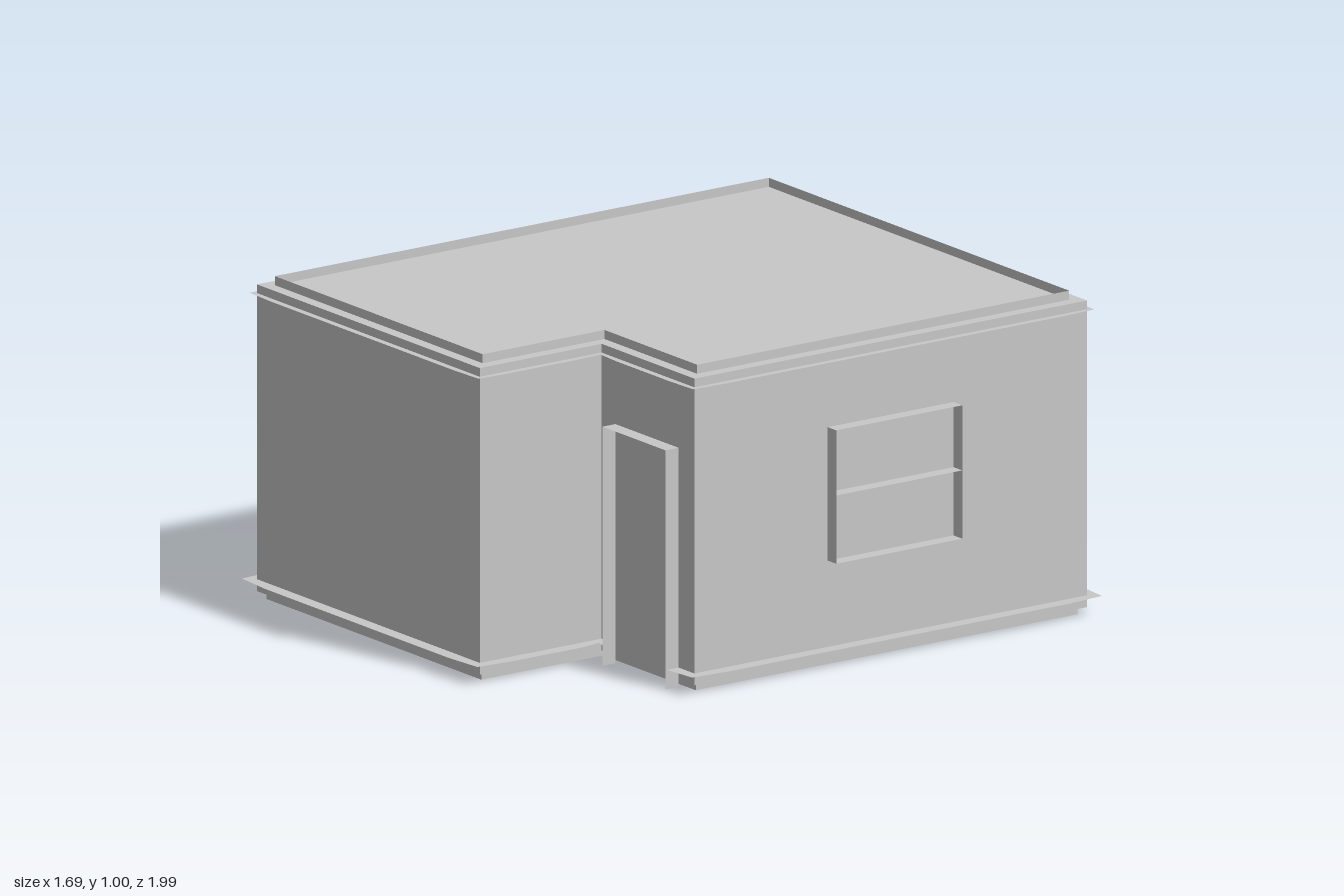
import * as THREE from 'three';

const plaster = new THREE.MeshStandardMaterial({ color: 0xc8c8c8, side: THREE.DoubleSide });
plaster.name = 'plaster grey';
const brown = new THREE.MeshStandardMaterial({ color: 0x94794c, side: THREE.DoubleSide });
brown.name = 'mat brown';

// L-shaped footprint as [x, z], counter-clockwise from above, starting at the door wall's outer corner
const FOOT = [[0.8, 0.5], [0.8, -0.95], [-0.8, -0.95], [-0.8, 0.95], [0.33, 0.95], [0.33, 0.5]];

// Outward normal of the edge a -> b
function normal(a, b) {
  const dx = b[0] - a[0], dz = b[1] - a[1], l = Math.hypot(dx, dz);
  return [-dz / l, dx / l];
}

// Footprint grown outward by d (negative = inset)
function offset(points, d) {
  return points.map((p, i) => {
    const n = points.length;
    const a = normal(points[(i + n - 1) % n], p), b = normal(p, points[(i + 1) % n]);
    return [p[0] + (a[0] + b[0]) * d, p[1] + (a[1] + b[1]) * d];
  });
}

// Outer moulding edge: full width along each side, slightly drawn in at the corners
function mouldingEdge(d) {
  const corner = offset(FOOT, d * 0.75);
  const out = [];
  FOOT.forEach((p, i) => {
    const q = FOOT[(i + 1) % FOOT.length], n = normal(p, q);
    const l = Math.hypot(q[0] - p[0], q[1] - p[1]);
    out.push(corner[i]);
    for (const t of [0.1 / l, 1 - 0.1 / l]) {
      out.push([p[0] + (q[0] - p[0]) * t + n[0] * d, p[1] + (q[1] - p[1]) * t + n[1] * d]);
    }
  });
  return out;
}

const vec = (points) => points.map(([x, z]) => new THREE.Vector2(x, -z));

function add(group, name, geometry, material = plaster) {
  const mesh = new THREE.Mesh(geometry, material);
  mesh.name = name;
  group.add(mesh);
  return mesh;
}

// Flat horizontal sheet at height y
function sheet(group, name, shape, y) {
  add(group, name, new THREE.ShapeGeometry(shape).rotateX(-Math.PI / 2)).position.y = y;
}

// Thin upright band following a closed outline
function band(name, points, y0, y1) {
  const g = new THREE.Group();
  g.name = name;
  points.forEach((p, i) => {
    const q = points[(i + 1) % points.length];
    const m = add(g, name + 'Side', new THREE.PlaneGeometry(Math.hypot(q[0] - p[0], q[1] - p[1]), y1 - y0));
    m.position.set((p[0] + q[0]) / 2, (y0 + y1) / 2, (p[1] + q[1]) / 2);
    m.rotation.y = Math.atan2(-(q[1] - p[1]), q[0] - p[0]);
  });
  return g;
}

// Thin casing strips standing out of a wall that faces local +z
function casing(name, width, y0, y1, depth, bars) {
  const g = new THREE.Group();
  g.name = name;
  for (const s of [-1, 1]) {
    const side = add(g, 'jamb', new THREE.PlaneGeometry(depth, y1 - y0).rotateY(Math.PI / 2));
    side.position.set(s * width / 2, (y0 + y1) / 2, depth / 2);
  }
  for (const y of bars) {
    const bar = add(g, 'rail', new THREE.PlaneGeometry(width, depth).rotateX(-Math.PI / 2));
    bar.position.set(0, y, depth / 2);
  }
  return g;
}

export function createModel() {
  const house = new THREE.Group();
  house.name = 'house';

  // Walls with flat roof and floor
  const walls = new THREE.ExtrudeGeometry(new THREE.Shape(vec(FOOT)), { depth: 0.952, bevelEnabled: false });
  add(house, 'walls', walls.rotateX(-Math.PI / 2)).position.y = 0.023;

  // Roof rim and base skirt
  house.add(band('roofRim', offset(FOOT, -0.038), 0.975, 1.003));
  house.add(band('baseSkirt', offset(FOOT, -0.02), 0, 0.023));

  // Cornice runs all the way round
  const cornice = new THREE.Shape(vec(mouldingEdge(0.021)));
  cornice.holes.push(new THREE.Path(vec(FOOT)));
  sheet(house, 'cornice', cornice, 0.948);

  // Plinth ledge stops at either side of the door
  const edge = mouldingEdge(0.043);
  const outer = [[0.72, 0.543], ...edge.slice(0, -2), [0.4, 0.543]];
  const inner = [[0.72, 0.5], ...FOOT, [0.4, 0.5]];
  sheet(house, 'plinthLedge', new THREE.Shape(vec([...outer, ...inner.reverse()])), 0.06);

  // Door casing in the notch
  const door = casing('doorCasing', 0.32, 0, 0.742, 0.048, [0.742]);
  door.position.set(0.56, 0, 0.5);
  house.add(door);

  // Sash windows on the left side and the back
  const rails = [0.328, 0.54, 0.742];
  const sideWindow = casing('sideWindow', 0.465, 0.328, 0.742, 0.044, rails);
  sideWindow.position.set(0.8, 0, -0.225);
  sideWindow.rotation.y = Math.PI / 2;
  const backWindow = casing('backWindow', 0.5, 0.328, 0.742, 0.044, rails);
  backWindow.position.set(-0.045, 0, -0.95);
  backWindow.rotation.y = Math.PI;
  house.add(sideWindow, backWindow);

  // Mat and furniture feet showing under the floor
  const mat = add(house, 'floorMat', new THREE.BoxGeometry(0.19, 0.004, 0.22), brown);
  mat.position.set(0.02, 0.021, 0.12);
  for (const x of [-0.52, -0.73]) {
    for (const z of [-0.11, 0.525]) {
      add(house, 'furnitureFoot', new THREE.BoxGeometry(0.02, 0.004, 0.02)).position.set(x, 0.021, z);
    }
  }
  return house;
}
